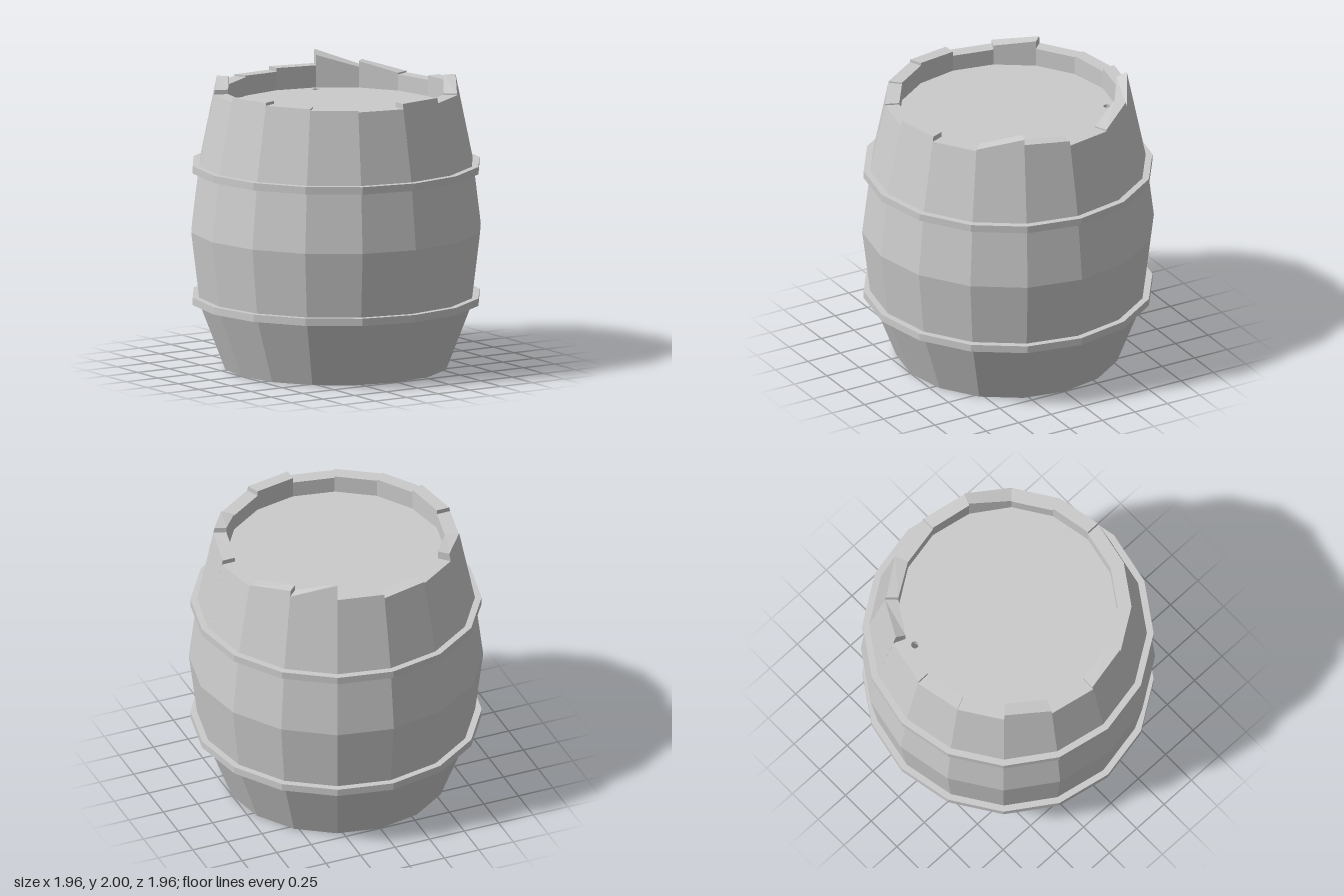
import * as THREE from 'three';

const SIDES = 16;
const STEP = (Math.PI * 2) / SIDES;
const material = new THREE.MeshStandardMaterial({ color: 0xcccccc, flatShading: true });

// Stave section from the ground up: [height, outer radius, inner radius]
const SECTION = [[0, 0.75, 0.69], [0.44, 0.92, 0.7], [0.93, 0.98, 0.72], [1.38, 0.925, 0.73]];

// Uneven stave ends, anticlockwise from +x towards +z: [height at start edge, height at end edge]
const ENDS = [
  [1.89, 1.91], [1.945, 1.87], [1.86, 1.86], [1.895, 1.895],
  [1.86, 1.86], [1.87, 1.87], [1.88, 1.88], [1.9, 1.89],
  [1.86, 1.86], [1.89, 1.93], [1.875, 1.875], [1.885, 1.875],
  [1.9, 1.9], [2.0, 1.89], [1.87 + 0.06, 1.87], [1.86, 1.86],
];

function addMesh(group, geometry, name, y = 0) {
  const mesh = new THREE.Mesh(geometry, material);
  mesh.name = name;
  mesh.position.y = y;
  group.add(mesh);
}

// One stave: matching outer and inner columns at both edges, joined by quads
function staveGeometry(index) {
  const columns = [0, 1].map((side) => {
    const angle = (index + side) * STEP;
    const top = ENDS[index][side];
    const levels = [...SECTION, [top, 0.82 - 0.2 * (top - 1.89), 0.73]];
    const point = (r, y) => [Math.cos(angle) * r, y, Math.sin(angle) * r];
    return {
      outer: levels.map(([y, r]) => point(r, y)),
      // the far corner of a steep end drops slightly towards the inside
      inner: levels.map(([y, , r]) => point(r, y > 1.95 ? y - 0.03 : y)),
    };
  });
  const [a, b] = columns;
  const positions = [];
  const quad = (p, q, r, s) => positions.push(...p, ...q, ...r, ...p, ...r, ...s);
  const last = SECTION.length;
  for (let i = 0; i < last; i++) {
    quad(b.outer[i], a.outer[i], a.outer[i + 1], b.outer[i + 1]);
    quad(a.inner[i], b.inner[i], b.inner[i + 1], a.inner[i + 1]);
  }
  // end grain, and the edges exposed at the rim
  quad(b.outer[last], a.outer[last], a.inner[last], b.inner[last]);
  quad(a.outer[0], b.outer[0], b.inner[0], a.inner[0]);
  quad(a.outer[last - 1], a.inner[last - 1], a.inner[last], a.outer[last]);
  quad(b.inner[last - 1], b.outer[last - 1], b.outer[last], b.inner[last]);

  const geometry = new THREE.BufferGeometry();
  geometry.setAttribute('position', new THREE.Float32BufferAttribute(positions, 3));
  geometry.computeVertexNormals();
  return geometry;
}

// Flat-sided band with a rectangular section
function hoopGeometry() {
  const section = [[0.9, 0], [0.97, 0], [0.97, 0.05], [0.9, 0.05], [0.9, 0]];
  return new THREE.LatheGeometry(section.map(([r, y]) => new THREE.Vector2(r, y)), SIDES);
}

// Sunken lid with a small bung hole
function lidGeometry() {
  const corners = Array.from({ length: SIDES }, (_, i) =>
    new THREE.Vector2(Math.cos(i * STEP) * 0.73, Math.sin(i * STEP) * 0.73));
  const shape = new THREE.Shape(corners);
  shape.holes.push(new THREE.Path().absarc(0.245, 0.62, 0.025, 0, Math.PI * 2, true));
  const geometry = new THREE.ExtrudeGeometry(shape, { depth: 0.05, bevelEnabled: false, curveSegments: 10 });
  return geometry.rotateX(-Math.PI / 2);
}

export function createModel() {
  const barrel = new THREE.Group();
  barrel.name = 'barrel';

  const staves = new THREE.Group();
  staves.name = 'staves';
  for (let i = 0; i < SIDES; i++) addMesh(staves, staveGeometry(i), `stave${i + 1}`);
  barrel.add(staves);

  addMesh(barrel, hoopGeometry(), 'lowerHoop', 0.44);
  addMesh(barrel, hoopGeometry(), 'upperHoop', 1.33);
  addMesh(barrel, lidGeometry(), 'lid', 1.7);
  addMesh(barrel, new THREE.CylinderGeometry(0.695, 0.695, 0.05, SIDES), 'bottomBoard', 0.105);
  return barrel;
}
